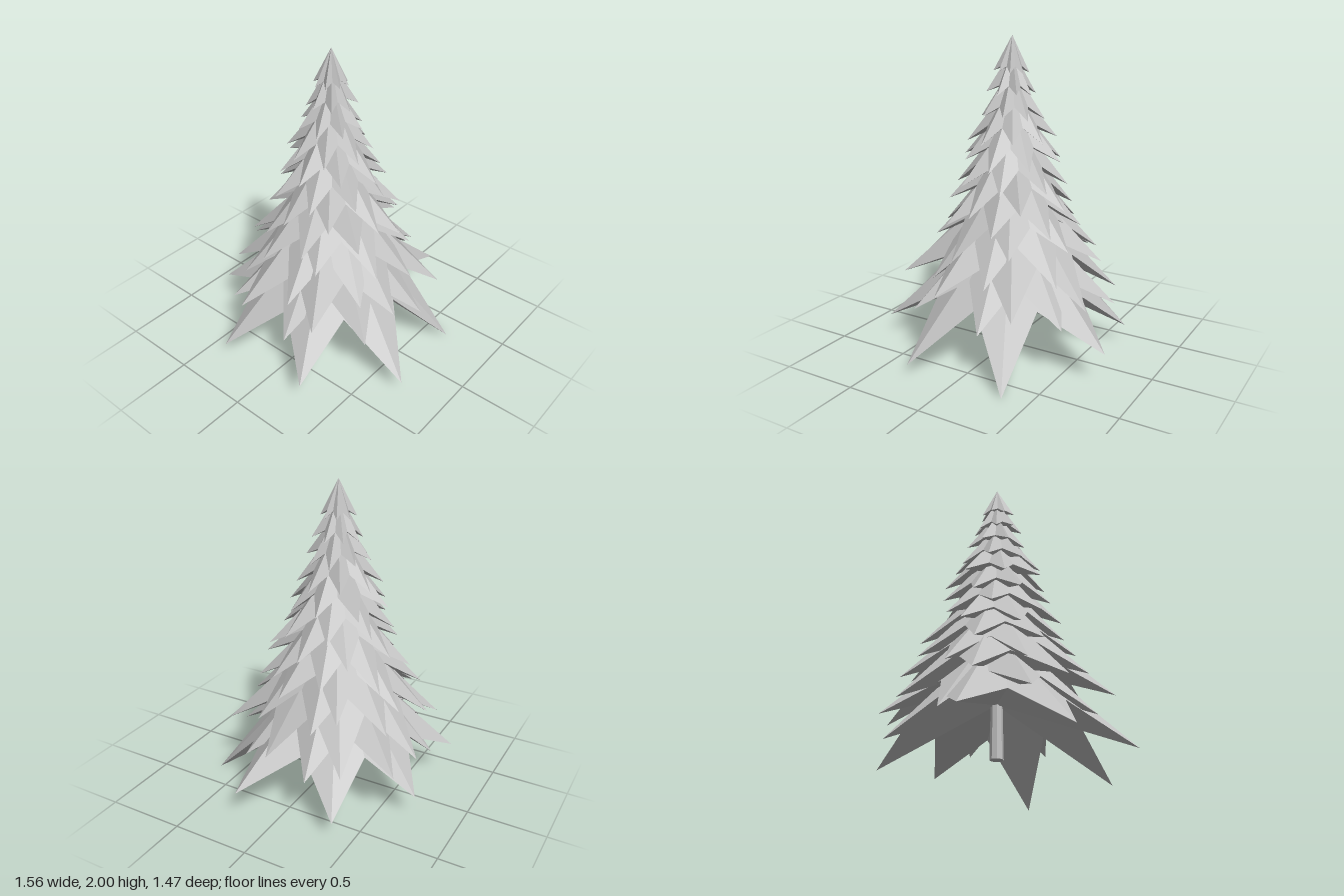
import * as THREE from 'three';

const AXIS_X = -0.015, AXIS_Z = -0.06;   // trunk axis
const POINTS = 8;                        // branch tips per tier

// One row per tier: tip radius, mean tip height, turn in degrees
const TIERS = [
  [0.80, 0.13, 19], [0.66, 0.31, 33], [0.67, 0.43, 15], [0.58, 0.57, 32],
  [0.52, 0.70, 17], [0.46, 0.83, 30], [0.41, 0.96, 8], [0.365, 1.09, 27],
  [0.32, 1.23, 40], [0.265, 1.37, 14], [0.20, 1.51, 31], [0.155, 1.65, 5], [0.11, 1.78, 22],
];

// The lowest tier's uneven tips
const LOW_RADII = [0.84, 0.80, 0.833, 0.823, 0.81, 0.758, 0.707, 0.75];
const LOW_HEIGHTS = [0.20, 0, 0.08, 0.14, 0.13, 0.23, 0.15, 0.12];

function seeded(seed) {
  return () => {
    seed = (seed * 16807) % 2147483647;
    return seed / 2147483647;
  };
}

// Closed star-shaped skirt: peak above, shallow hub below, drooping tips
function tierGeometry(index, rand) {
  const [radius, tipY, turn] = TIERS[index];
  const hubY = tipY + 0.42 * radius;
  const peakY = index === TIERS.length - 1 ? 2 : hubY + 0.18 + 0.43 * (radius - 0.11);
  const rim = [];
  for (let i = 0; i < POINTS * 2; i++) {
    const a = THREE.MathUtils.degToRad(turn + (i * 180) / POINTS);
    const tip = i % 2 === 0;
    const jr = 1 + (rand() - 0.5) * 0.12, jy = (rand() - 0.5) * 0.16 * radius;
    let r = tip ? radius * jr : radius * 0.61;
    let y = tip ? tipY + jy : hubY - 0.09 * radius;
    if (tip && index === 0) {
      r = LOW_RADII[i / 2];
      y = LOW_HEIGHTS[i / 2];
    }
    rim.push([r * Math.cos(a), y, r * Math.sin(a)]);
  }
  const pos = [];
  rim.forEach((p, i) => {
    const q = rim[(i + 1) % rim.length];
    pos.push(0, peakY, 0, ...q, ...p);   // upper face
    pos.push(0, hubY, 0, ...p, ...q);    // underside
  });
  const geo = new THREE.BufferGeometry();
  geo.setAttribute('position', new THREE.Float32BufferAttribute(pos, 3));
  geo.computeVertexNormals();
  return geo;
}

export function createModel() {
  const grey = new THREE.MeshStandardMaterial({ color: 0xc0c0c0, flatShading: true });
  grey.name = 'plain grey';
  const tree = new THREE.Group();
  tree.name = 'pineTree';
  const rand = seeded(4711);

  // Foliage tiers
  TIERS.forEach((_, i) => {
    const tier = new THREE.Mesh(tierGeometry(i, rand), grey);
    tier.name = `branchTier${i + 1}`;
    tier.position.set(AXIS_X, 0, AXIS_Z);
    tree.add(tier);
  });

  // Trunk, tapering up inside the foliage
  const trunk = new THREE.Mesh(new THREE.CylinderGeometry(0.012, 0.042, 1.67, 8), grey);
  trunk.name = 'trunk';
  trunk.position.set(AXIS_X, 0.13 + 1.67 / 2, AXIS_Z);
  tree.add(trunk);

  return tree;
}
